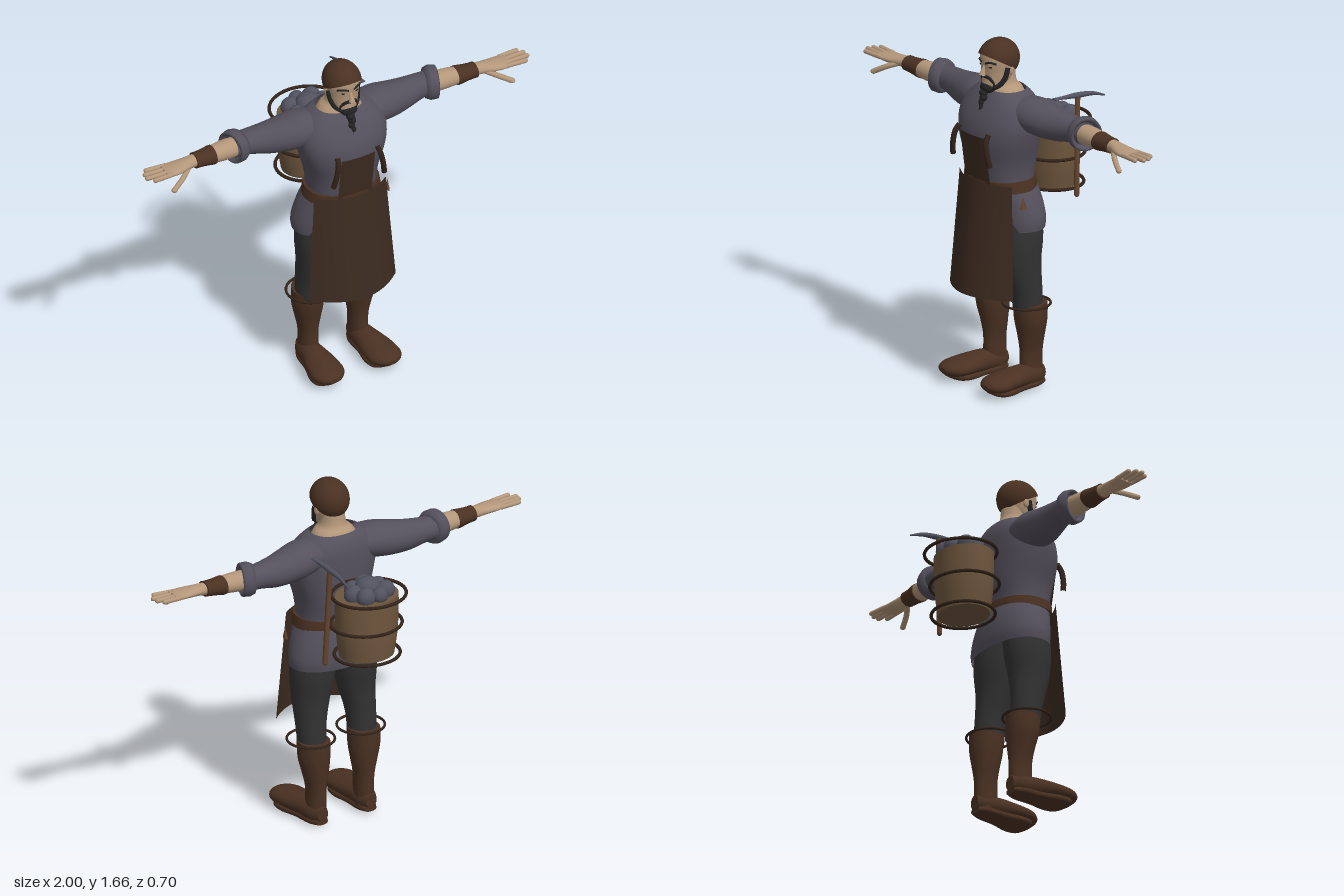
import * as THREE from 'three';

const mat = (name, color, side = THREE.FrontSide) => {
  const m = new THREE.MeshStandardMaterial({ color, side });
  m.name = name;
  return m;
};

// Smooth elliptical loft along an axis. Rows ascend: [t, centre1, centre2, radius1, radius2]
function loft(axis, rows, { n = 28, p = 2, steps = 4, caps = true } = {}) {
  const rings = [];
  const at = i => rows[Math.max(0, Math.min(rows.length - 1, i))];
  for (let i = 0; i < rows.length - 1; i++) {
    for (let s = 0; s < steps; s++) {
      const u = s / steps;
      rings.push(at(i).map((b, k) => {
        const a = at(i - 1)[k], c = at(i + 1)[k], d = at(i + 2)[k];
        return b + 0.5 * u * (c - a + u * (2 * a - 5 * b + 4 * c - d + u * (3 * (b - c) + d - a)));
      }));
    }
  }
  rings.push(rows[rows.length - 1]);
  const pos = [], idx = [];
  const put = (t, a, b) => pos.push(...(axis === 'y' ? [a, t, b] : axis === 'x' ? [t, a, b] : [a, b, t]));
  const tri = (a, b, c) => (axis === 'y' ? idx.push(a, b, c) : idx.push(a, c, b));
  const pw = v => Math.sign(v) * Math.abs(v) ** (2 / p);
  const ring = r => {
    const start = pos.length / 3;
    for (let j = 0; j < n; j++) {
      const a = (j / n) * Math.PI * 2;
      put(r[0], r[1] + r[3] * pw(Math.cos(a)), r[2] + r[4] * pw(Math.sin(a)));
    }
    return start;
  };
  const starts = rings.map(ring);
  for (let i = 0; i < starts.length - 1; i++) {
    for (let j = 0; j < n; j++) {
      const k = (j + 1) % n, a = starts[i], b = starts[i + 1];
      tri(a + j, b + j, a + k);
      tri(b + j, b + k, a + k);
    }
  }
  if (caps) [rings[0], rings[rings.length - 1]].forEach((r, end) => {
    const s = ring(r), c = pos.length / 3;
    put(r[0], r[1], r[2]);
    for (let j = 0; j < n; j++) {
      const k = (j + 1) % n;
      if (end) tri(c, s + k, s + j); else tri(c, s + j, s + k);
    }
  });
  const g = new THREE.BufferGeometry();
  g.setAttribute('position', new THREE.Float32BufferAttribute(pos, 3));
  g.setIndex(idx);
  g.computeVertexNormals();
  return g;
}

function mirrored(geo) {
  const g = geo.clone().scale(-1, 1, 1);
  const a = g.index.array;
  for (let i = 0; i < a.length; i += 3) [a[i], a[i + 1]] = [a[i + 1], a[i]];
  return g;
}

const V = p => new THREE.Vector3(...p);
const ball = (c, r, d = 14) => new THREE.SphereGeometry(1, d, d - 4).scale(...r).translate(...c);
const tube = (pts, r) => new THREE.TubeGeometry(new THREE.CatmullRomCurve3(pts.map(V)), 14, r, 8);
const hoop = (r, t) => new THREE.TorusGeometry(r, t, 8, 40).rotateX(Math.PI / 2);

// Rounded rod between two points
function rod(a, b, r) {
  const d = V(b).sub(V(a)), len = d.length();
  const q = new THREE.Quaternion().setFromUnitVectors(new THREE.Vector3(0, 1, 0), d.normalize());
  return new THREE.CapsuleGeometry(r, len, 4, 10).applyQuaternion(q).translate(...V(a).add(V(b)).multiplyScalar(0.5));
}

export function createModel() {
  const model = new THREE.Group();
  const cloth = mat('tunic cloth', 0x54505c, THREE.DoubleSide);
  const apronM = mat('apron leather', 0x3c2b20, THREE.DoubleSide);
  const leather = mat('brown leather', 0x4a3122);
  const trousers = mat('trouser cloth', 0x323233);
  const skin = mat('skin', 0xb4977a);
  const black = mat('black hair', 0x232325);
  const wood = mat('bucket wood', 0x6e563d);
  const dark = mat('dark bands', 0x33231a);
  const stone = mat('stone and steel', 0x525260);
  const haft = mat('handle wood', 0x66452f);

  const add = (name, geo, m) => {
    const mesh = new THREE.Mesh(geo, m);
    mesh.name = name;
    model.add(mesh);
  };
  const pair = (name, geo, m) => {
    add('left' + name, geo, m);
    add('right' + name, mirrored(geo), m);
  };

  // Tunic
  add('tunicTorso', loft('y', [
    [0.96, 0, 0.125, 0.168, 0.13], [1.02, 0, 0.13, 0.166, 0.133], [1.1, 0, 0.13, 0.176, 0.145],
    [1.2, 0, 0.135, 0.205, 0.155], [1.28, 0, 0.13, 0.218, 0.15], [1.35, 0, 0.117, 0.205, 0.132],
    [1.4, 0, 0.11, 0.16, 0.108], [1.425, 0, 0.11, 0.112, 0.088]], { n: 40, p: 2.3, caps: false }), cloth);
  add('tunicSkirt', loft('y', [
    [0.78, 0, 0.1, 0.228, 0.13], [0.83, 0, 0.1, 0.23, 0.135], [0.91, 0, 0.11, 0.208, 0.138],
    [1.0, 0, 0.128, 0.17, 0.135]], { n: 40, p: 2.2, caps: false }), cloth);
  pair('Sleeve', loft('x', [
    [0.1, 1.335, 0.1, 0.07, 0.095], [0.2, 1.33, 0.085, 0.083, 0.102], [0.28, 1.32, 0.075, 0.08, 0.092],
    [0.36, 1.315, 0.063, 0.072, 0.076], [0.45, 1.32, 0.053, 0.058, 0.063], [0.52, 1.32, 0.05, 0.056, 0.058]]), cloth);
  const cuff = [[0.052, 0], [0.072, 0], [0.081, 0.022], [0.078, 0.055], [0.068, 0.06], [0.055, 0.04]];
  pair('SleeveCuff', new THREE.LatheGeometry(cuff.map(c => new THREE.Vector2(...c)), 28)
    .rotateZ(-Math.PI / 2).rotateY(-0.3).translate(0.482, 1.32, 0.047), cloth);

  // Forearms, hands and bracers
  pair('ForearmAndPalm', loft('x', [
    [0.48, 1.32, 0.058, 0.044, 0.045], [0.56, 1.32, 0.06, 0.046, 0.05], [0.63, 1.321, 0.064, 0.041, 0.045],
    [0.7, 1.322, 0.068, 0.032, 0.037], [0.75, 1.325, 0.072, 0.027, 0.034], [0.81, 1.325, 0.08, 0.022, 0.045],
    [0.86, 1.325, 0.083, 0.018, 0.05], [0.895, 1.326, 0.083, 0.012, 0.044]]), skin);
  [[0.043, 0.965, 0.04], [0.07, 0.985, 0.068], [0.097, 0.989, 0.098], [0.122, 0.965, 0.13]].forEach(([z, x, ez], i) =>
    pair('Finger' + (i + 1), rod([0.87, 1.326, z], [x, 1.329, ez], 0.011), skin));
  pair('Thumb', tube([[0.77, 1.318, 0.095], [0.82, 1.295, 0.13], [0.88, 1.262, 0.155]], 0.013), skin);
  pair('ThumbTip', ball([0.88, 1.262, 0.155], [0.015, 0.012, 0.013]), skin);
  pair('Bracer', loft('x', [
    [0.632, 1.32, 0.065, 0.044, 0.05], [0.645, 1.32, 0.065, 0.044, 0.049], [0.68, 1.321, 0.067, 0.039, 0.044],
    [0.715, 1.322, 0.069, 0.036, 0.042], [0.732, 1.323, 0.07, 0.036, 0.042]]), leather);

  // Legs, boots and knee rings
  pair('TrouserLeg', loft('y', [
    [0.38, 0.135, 0.08, 0.066, 0.07], [0.45, 0.136, 0.085, 0.068, 0.074], [0.52, 0.133, 0.096, 0.073, 0.082],
    [0.62, 0.123, 0.11, 0.088, 0.096], [0.75, 0.112, 0.11, 0.104, 0.112], [0.92, 0.095, 0.11, 0.095, 0.11]]), trousers);
  pair('BootShaft', loft('y', [
    [0.03, 0.132, 0.05, 0.046, 0.05], [0.1, 0.13, 0.056, 0.044, 0.058], [0.18, 0.13, 0.056, 0.046, 0.058],
    [0.25, 0.132, 0.058, 0.06, 0.065], [0.33, 0.136, 0.063, 0.074, 0.078], [0.41, 0.136, 0.066, 0.074, 0.083]]), leather);
  pair('Shoe', loft('z', [
    [-0.006, 0.132, 0.06, 0.028, 0.035], [0.04, 0.135, 0.058, 0.05, 0.05], [0.12, 0.138, 0.064, 0.06, 0.052],
    [0.2, 0.143, 0.064, 0.076, 0.046], [0.28, 0.147, 0.06, 0.08, 0.04], [0.325, 0.15, 0.06, 0.055, 0.027],
    [0.345, 0.15, 0.06, 0.022, 0.01]]), leather);
  pair('Sole', loft('z', [
    [-0.002, 0.132, 0.022, 0.03, 0.015], [0.05, 0.134, 0.023, 0.05, 0.021], [0.14, 0.138, 0.023, 0.056, 0.021],
    [0.22, 0.143, 0.023, 0.072, 0.023], [0.28, 0.147, 0.026, 0.066, 0.02], [0.315, 0.15, 0.035, 0.03, 0.012]], { p: 2.6 }), leather);
  pair('KneeRing', hoop(0.11, 0.006).translate(0.136, 0.41, 0.088), dark);

  // Belt and hip tag
  add('belt', loft('y', [
    [0.963, 0, 0.13, 0.188, 0.142], [0.985, 0, 0.13, 0.184, 0.144], [1.013, 0, 0.132, 0.178, 0.143]],
  { n: 40, p: 2.2 }), leather);
  add('hipTag', new THREE.ConeGeometry(0.02, 0.06, 6).scale(0.4, 1, 1).translate(0.218, 0.93, 0.175), haft);

  // Apron: a bowed sheet widening to the hem, with a bib and loose straps
  const sheet = (w, h, rule) => {
    const g = new THREE.PlaneGeometry(w, h, 16, 8), p = g.attributes.position;
    for (let i = 0; i < p.count; i++) p.setXYZ(i, ...rule(p.getX(i), p.getY(i)));
    g.computeVertexNormals();
    return g;
  };
  add('apronSkirt', sheet(2, 1, (u, v) => {
    const k = 0.5 - v;
    return [u * (0.187 + 0.038 * k), 1.005 - 0.535 * k, 0.285 + 0.06 * k - u * u * (0.07 + 0.035 * k)];
  }), apronM);
  add('apronBib', sheet(0.175, 0.24, (x, y) => [x, 1.11 + y, 0.287 + 0.14 * y - 1.2 * x * x]), apronM);
  pair('ApronStrap', tube([[0.103, 1.25, 0.285], [0.11, 1.22, 0.305], [0.122, 1.16, 0.309], [0.132, 1.105, 0.3]], 0.013), dark);

  // Neck and head
  add('neck', loft('y', [
    [1.385, 0, 0.11, 0.12, 0.092], [1.425, 0, 0.11, 0.093, 0.08], [1.455, 0, 0.115, 0.063, 0.062],
    [1.52, 0, 0.12, 0.058, 0.06]]), skin);
  add('face', loft('y', [
    [1.42, 0, 0.18, 0.025, 0.03], [1.445, 0, 0.172, 0.05, 0.052], [1.48, 0, 0.152, 0.066, 0.07],
    [1.52, 0, 0.143, 0.074, 0.08], [1.57, 0, 0.139, 0.081, 0.09], [1.61, 0, 0.137, 0.072, 0.085],
    [1.645, 0, 0.135, 0.04, 0.05]]), skin);
  add('nose', new THREE.ConeGeometry(0.016, 0.06, 8).rotateX(-0.25).translate(0, 1.53, 0.229), skin);
  pair('Ear', ball([0.077, 1.525, 0.13], [0.01, 0.024, 0.015]), skin);
  add('hairCap', new THREE.SphereGeometry(1, 32, 20, 0, Math.PI * 2, 0, 1.75)
    .rotateX(-0.56).scale(0.088, 0.096, 0.103).translate(0, 1.564, 0.14), leather);
  pair('Eyebrow', tube([[0.012, 1.558, 0.226], [0.035, 1.567, 0.222], [0.06, 1.56, 0.201]], 0.005), black);
  pair('Eye', ball([0.031, 1.543, 0.215], [0.012, 0.005, 0.006]), black);

  // Moustache, beard and braid
  pair('Moustache', tube([[0, 1.495, 0.225], [0.024, 1.49, 0.217], [0.038, 1.465, 0.2], [0.036, 1.445, 0.198]], 0.0085), black);
  pair('JawBeard', tube([[0.075, 1.54, 0.148], [0.07, 1.49, 0.16], [0.054, 1.455, 0.182], [0.02, 1.435, 0.21]], 0.013), black);
  add('chinBeard', ball([0, 1.438, 0.204], [0.042, 0.027, 0.032]), black);
  for (let i = 0; i < 5; i++) {
    const r = 0.021 - i * 0.0022;
    add('beardBraid' + (i + 1), ball([i % 2 ? 0.003 : -0.003, 1.415 - i * 0.022, 0.226 + i * 0.005], [r, 0.018, r]), black);
  }

  // Bucket with hoops and a heap of stones
  add('bucket', loft('y', [
    [0.905, 0, -0.167, 0.132, 0.112], [1.0, 0, -0.167, 0.147, 0.121], [1.1, 0, -0.167, 0.153, 0.126],
    [1.2, 0, -0.167, 0.153, 0.128]], { n: 36 }), wood);
  [[1.21, 0.17, -0.185], [1.056, 0.163, -0.163], [0.907, 0.15, -0.171]].forEach(([y, r, z], i) =>
    add('bucketHoop' + (i + 1), hoop(r, 0.008).scale(1.03, 1, 0.94).translate(0, y, z), dark));
  add('stoneTop', ball([0, 1.24, -0.175], [0.062, 0.05, 0.058]), stone);
  for (let i = 0; i < 7; i++) {
    const a = (i / 7) * Math.PI * 2, r = i % 2 ? 0.04 : 0.046;
    add('stone' + (i + 1), ball([Math.cos(a) * 0.08, 1.222, -0.18 + Math.sin(a) * 0.072], [r, r, r * 0.9]), stone);
  }

  // Pickaxe beside the bucket
  add('pickHandle', rod([0.212, 0.9, -0.145], [0.198, 1.36, -0.162], 0.0125), haft);
  add('pickHead', loft('z', [
    [-0.322, 0.198, 1.336, 0.003, 0.004], [-0.25, 0.198, 1.36, 0.008, 0.01], [-0.165, 0.198, 1.37, 0.014, 0.013],
    [-0.09, 0.198, 1.375, 0.012, 0.009], [-0.022, 0.198, 1.379, 0.018, 0.003]], { n: 10 }), stone);

  return model;
}
